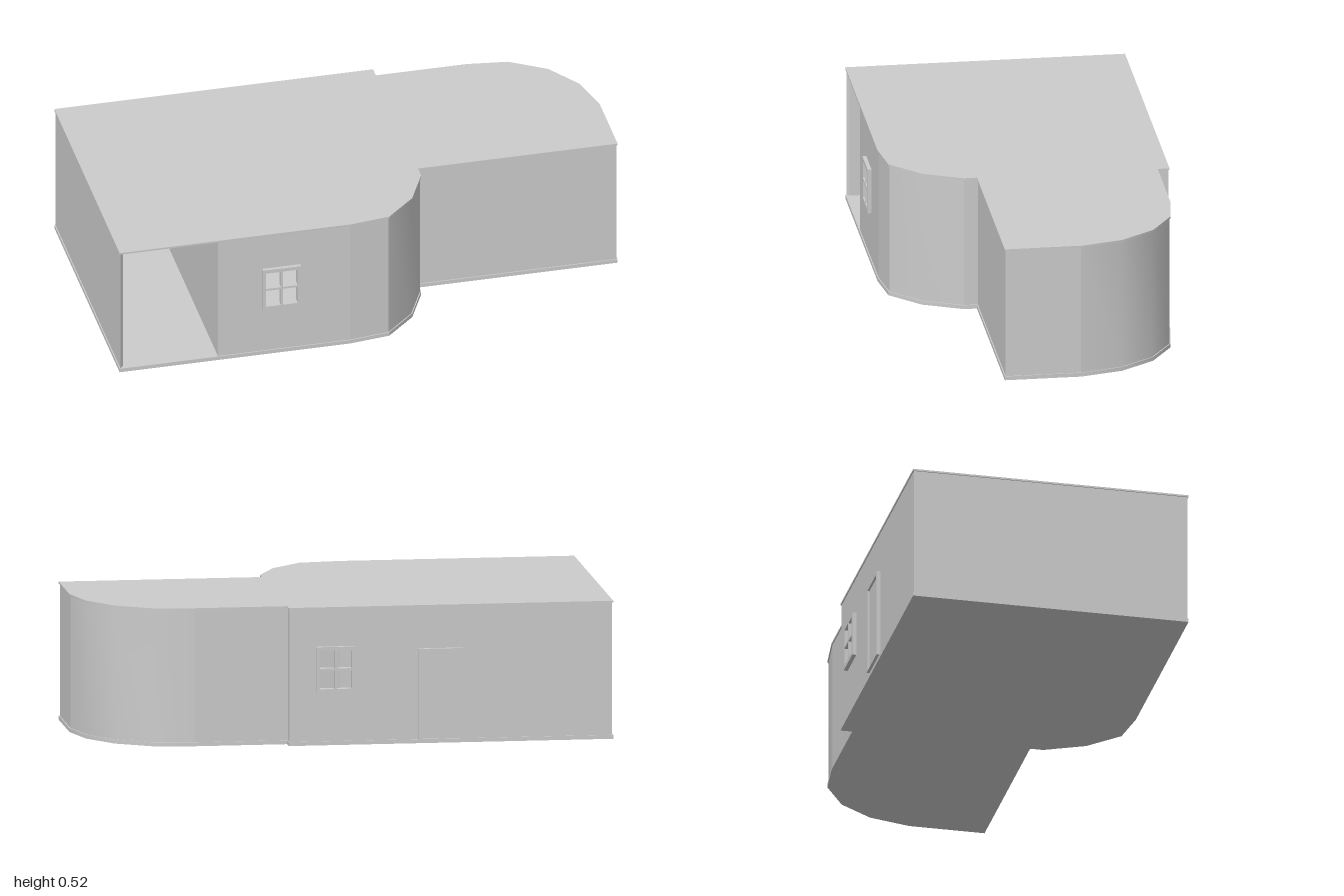
import * as THREE from 'three';
import { toCreasedNormals } from 'three/addons/utils/BufferGeometryUtils.js';

const FLOOR = 0.015, CEILING = 0.518, TOP = 0.525, THICK = 0.012;

// Footprint corners as [x, z], starting at the back right corner
const OUTLINE = [
  [-1, -0.53], [0.23, -0.53], [0.23, -0.485], [0.58, -0.485], [0.735, -0.465], [0.87, -0.38],
  [0.96, -0.25], [1, -0.09], [1, 0.2], [0.23, 0.2], [0.23, 0.25], [0.16, 0.4],
  [0.045, 0.51], [-0.11, 0.53], [-1, 0.53],
];

// Moves every edge of a closed footprint inwards by d
function inset(points, d) {
  const n = points.length;
  const normal = (a, b) => {
    const l = Math.hypot(b[0] - a[0], b[1] - a[1]);
    return [-(b[1] - a[1]) / l, (b[0] - a[0]) / l];
  };
  return points.map((p, i) => {
    const a = normal(points[(i + n - 1) % n], p), b = normal(p, points[(i + 1) % n]);
    const k = d / (1 + a[0] * b[0] + a[1] * b[1]);
    return [p[0] + (a[0] + b[0]) * k, p[1] + (a[1] + b[1]) * k];
  });
}

// Raises a footprint from height y0 to y1
function prism(points, y0, y1) {
  const shape = new THREE.Shape(points.map(([x, z]) => new THREE.Vector2(x, -z)));
  const geometry = new THREE.ExtrudeGeometry(shape, { depth: y1 - y0, bevelEnabled: false });
  geometry.rotateX(-Math.PI / 2).translate(0, y0, 0);
  return toCreasedNormals(geometry, 0.55);
}

// Upright panel with rectangular holes; rectangles are [x0, y0, x1, y1]
function panel(rect, holes, z0, z1) {
  const corners = ([x0, y0, x1, y1]) =>
    [[x0, y0], [x1, y0], [x1, y1], [x0, y1]].map(([x, y]) => new THREE.Vector2(x, y));
  const shape = new THREE.Shape(corners(rect));
  for (const hole of holes) shape.holes.push(new THREE.Path(corners(hole).reverse()));
  const geometry = new THREE.ExtrudeGeometry(shape, { depth: z1 - z0, bevelEnabled: false });
  return geometry.translate(0, 0, z0);
}

// The four panes of a window centred on x
function panes(x) {
  const list = [];
  for (const [x0, x1] of [[-0.061, -0.004], [0.004, 0.061]])
    for (const [y0, y1] of [[0.215, 0.285], [0.293, 0.361]]) list.push([x + x0, y0, x + x1, y1]);
  return list;
}

export function createModel() {
  const house = new THREE.Group();
  house.name = 'house';
  const material = new THREE.MeshStandardMaterial({ color: 0xcccccc });
  const add = (name, geometry) => {
    const mesh = new THREE.Mesh(geometry, material);
    mesh.name = name;
    house.add(mesh);
  };

  // Floor and roof slabs
  add('floor', prism(OUTLINE, 0, FLOOR));
  add('roof', prism(OUTLINE, CEILING, TOP));

  // Plain walls, each following a run of footprint corners
  const outer = inset(OUTLINE, 0.004), inner = inset(OUTLINE, 0.004 + THICK);
  const runs = {
    backStep: [1, 2], backWing: [2, 3], curvedBackCorner: [3, 7], wingEnd: [7, 8],
    wingFront: [8, 9], frontStep: [9, 10], curvedFrontCorner: [10, 13],
  };
  for (const [name, [from, to]] of Object.entries(runs)) {
    const strip = [...outer.slice(from, to + 1), ...inner.slice(from, to + 1).reverse()];
    add(name + 'Wall', prism(strip, FLOOR, CEILING));
  }
  add('sideWall', prism([outer[14], outer[0], inner[0], inner[14]], FLOOR, CEILING));

  // Front and back walls with window openings; the front one stops at the open bay
  const face = 0.526, frontWindow = -0.376, backWindow = 0.053;
  add('frontWall', panel([-0.62, FLOOR, -0.11, CEILING], panes(frontWindow), face - THICK, face));
  add('backWall', panel([-0.996, FLOOR, 0.226, CEILING], panes(backWindow), -face, THICK - face));

  // Window frames with glazing bars
  const frame = x => [x - 0.073, 0.2, x + 0.073, 0.375];
  add('frontWindowFrame', panel(frame(frontWindow), panes(frontWindow), face, 0.541));
  add('backWindowFrame', panel(frame(backWindow), panes(backWindow), -0.541, -face));

  // Back door and its frame
  const door = [-0.418, FLOOR, -0.272, 0.348];
  add('backDoor', panel(door, [], -0.533, -face));
  add('backDoorFrame', panel([-0.43, FLOOR, -0.26, 0.36], [[-0.418, FLOOR + 0.002, -0.272, 0.348]], -0.541, -face));

  // Partitions enclosing the open bay
  add('baySidePartition', prism([[-0.62, -0.31], [-0.608, -0.31], [-0.608, 0.515], [-0.62, 0.515]], FLOOR, CEILING));
  add('bayBackPartition', prism([[-0.985, -0.322], [-0.608, -0.322], [-0.608, -0.31], [-0.985, -0.31]], FLOOR, CEILING));

  return house;
}
